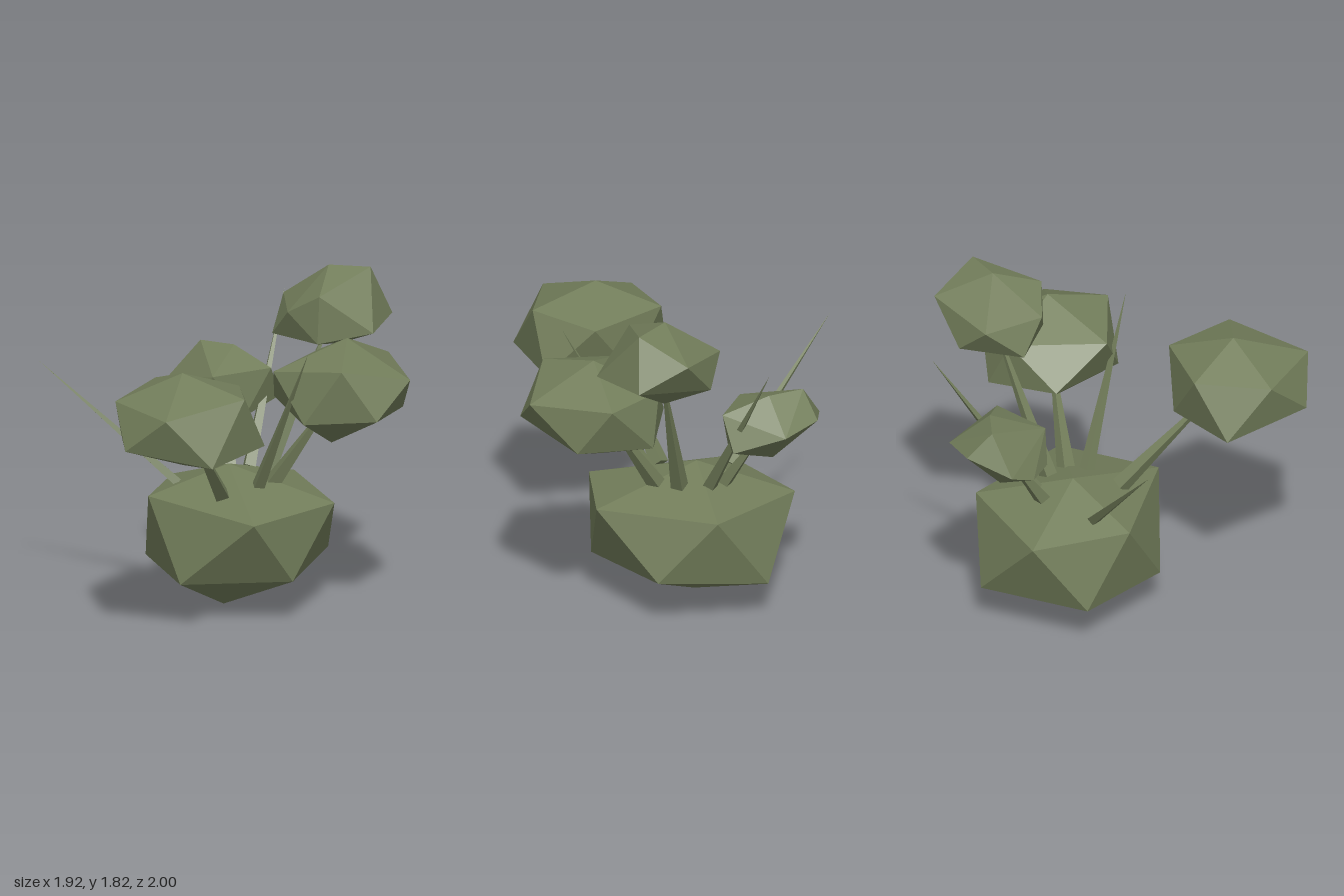
import * as THREE from 'three';
import { ConvexGeometry } from 'three/addons/geometries/ConvexGeometry.js';

const green = new THREE.MeshStandardMaterial({ color: 0x727d5a, flatShading: true });
green.name = 'mossGreen';

// Faceted twelve-corner lump: the convex skin around its corners
function clump(name, corners) {
  const points = corners.map((c) => new THREE.Vector3(...c));
  const mesh = new THREE.Mesh(new ConvexGeometry(points), green);
  mesh.name = name;
  return mesh;
}

// Four-sided spike tapering from base to tip
function spike(name, base, tip, radius) {
  const a = new THREE.Vector3(...base);
  const dir = new THREE.Vector3(...tip).sub(a);
  const length = dir.length();
  const geometry = new THREE.ConeGeometry(radius, length, 4);
  geometry.translate(0, length / 2, 0);
  const mesh = new THREE.Mesh(geometry, green);
  mesh.name = name;
  mesh.position.copy(a);
  mesh.quaternion.setFromUnitVectors(new THREE.Vector3(0, 1, 0), dir.normalize());
  return mesh;
}

export function createModel() {
  const model = new THREE.Group();
  model.name = 'succulentPlant';

  // Corners run: top, upper ring, lower ring, bottom
  model.add(clump('body', [
    [-0.05, 0.765, -0.23],
    [0.42, 0.585, 0.185], [-0.34, 0.61, 0.1], [-0.545, 0.59, -0.4], [0, 0.62, -0.755], [0.553, 0.615, -0.36],
    [-0.03, 0.2, 0.235], [-0.51, 0.215, -0.11], [-0.3, 0.21, -0.7], [0.3, 0.27, -0.65], [0.49, 0.235, -0.07],
    [-0.05, 0, -0.185],
  ]));
  model.add(clump('frontClump', [
    [0.25, 1.5, 0.6],
    [-0.06, 1.385, 0.42], [0.365, 1.37, 0.245], [0.62, 1.4, 0.545], [0.42, 1.34, 0.985], [-0.025, 1.35, 0.83],
    [-0.145, 1.08, 0.605], [0.165, 1.14, 1], [0.63, 1.085, 0.85], [0.61, 1.1, 0.35], [0.15, 1.09, 0.29],
    [0.23, 0.98, 0.565],
  ]));
  model.add(clump('tallBackClump', [
    [0.275, 1.815, -0.69], [0.46, 1.805, -0.815],
    [0.245, 1.675, -1], [0.505, 1.53, -0.95], [0.63, 1.51, -0.605], [0.395, 1.71, -0.44],
    [-0.03, 1.61, -0.7], [0.2, 1.6, -0.42], [0.04, 1.44, -0.5], [0.07, 1.46, -0.85], [0.39, 1.45, -0.43],
    [0.3, 1.37, -0.755],
  ]));
  model.add(clump('leftClump', [
    [0.59, 1.52, -0.425],
    [0.35, 1.37, -0.085], [0.775, 1.425, -0.12], [0.965, 1.335, -0.48], [0.6, 1.365, -0.785], [0.28, 1.37, -0.6],
    [0.17, 1.15, -0.34], [0.58, 1.12, -0.045], [0.935, 1.155, -0.22], [0.765, 1.11, -0.69], [0.35, 1.1, -0.72],
    [0.53, 0.945, -0.365],
  ]));
  model.add(clump('rightClump', [
    [-0.52, 1.285, -0.62], [-0.32, 1.285, -0.65],
    [-0.065, 1.2, -0.635], [-0.345, 1.12, -0.865], [-0.56, 1.15, -0.75], [-0.65, 1.085, -0.5],
    [-0.25, 1.18, -0.36], [-0.53, 1.02, -0.395], [-0.35, 1.015, -0.34], [-0.09, 1.02, -0.75], [-0.14, 0.95, -0.5],
    [-0.36, 0.895, -0.59],
  ]));

  // Stems end inside the clumps
  model.add(spike('frontStem', [0.08, 0.66, 0.01], [0.25, 1.28, 0.6], 0.05));
  model.add(spike('leftStem', [0.19, 0.68, -0.29], [0.58, 1.28, -0.42], 0.05));
  model.add(spike('tallStem', [0.09, 0.68, -0.37], [0.31, 1.6, -0.72], 0.05));
  model.add(spike('rightStem', [-0.15, 0.68, -0.38], [-0.35, 1.12, -0.6], 0.045));

  // Bare pointed shoots
  model.add(spike('rightShoot', [-0.29, 0.65, -0.1], [-0.955, 1.3, 0.255], 0.032));
  model.add(spike('backShoot', [-0.06, 0.7, -0.43], [-0.22, 1.55, -0.97], 0.042));
  model.add(spike('leftShoot', [0.18, 0.68, -0.18], [0.635, 1.53, -0.01], 0.04));

  return model;
}
